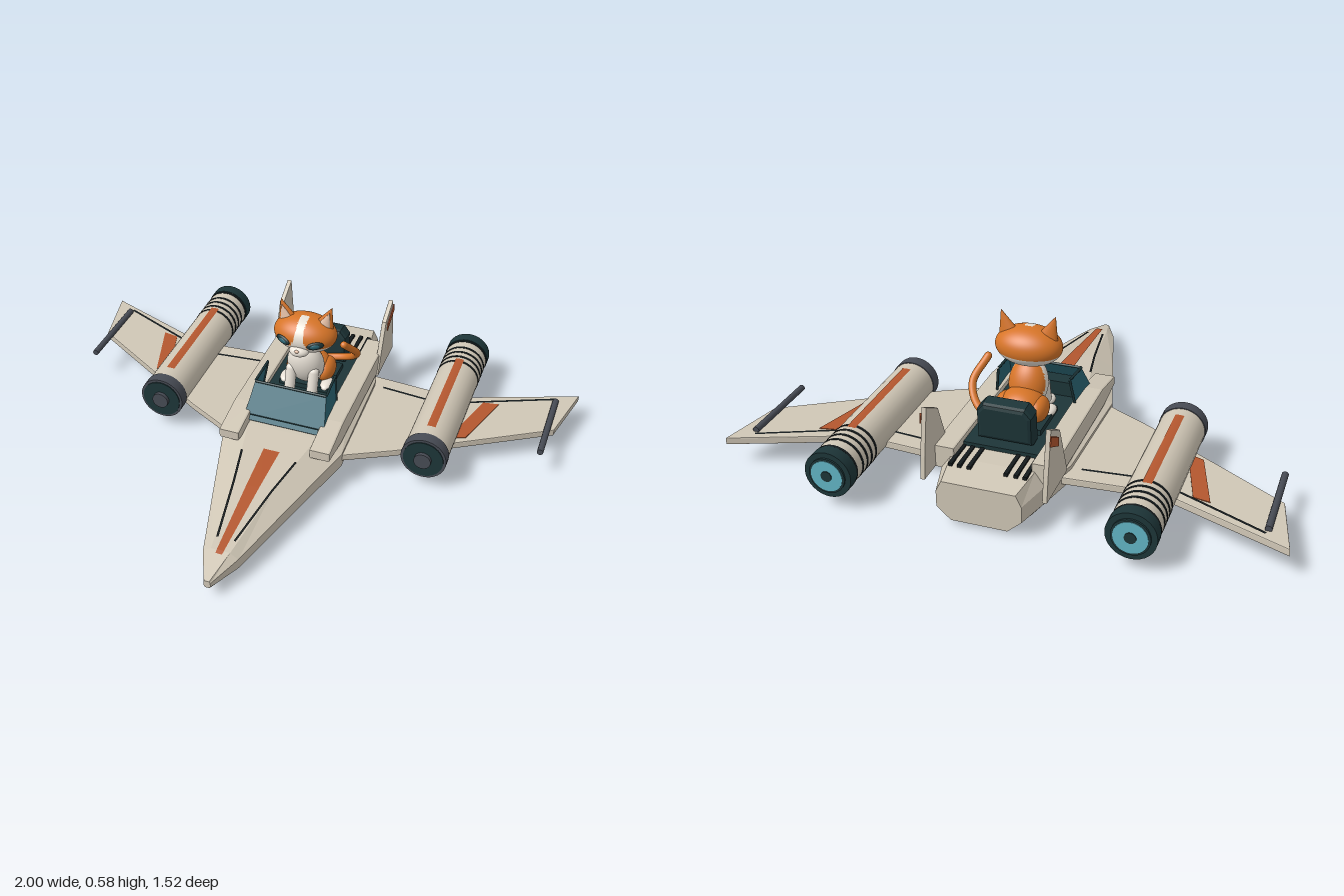
import * as THREE from 'three';

const mat = (name, color, side = THREE.FrontSide) => {
  const m = new THREE.MeshStandardMaterial({ color, side });
  m.name = name;
  return m;
};

export function createModel() {
  const root = new THREE.Group();
  const hullMat = mat('cream hull', 0xd0c7b6), red = mat('rust stripe', 0xb4572f);
  const dark = mat('dark green', 0x1d3538), steel = mat('steel', 0x474b54);
  const teal = mat('teal glass', 0x2b6675, THREE.DoubleSide), glow = mat('engine glow', 0x62b4c4);
  const orange = mat('orange fur', 0xd67427), white = mat('white fur', 0xe8e1d6);
  const black = mat('black line', 0x141a1c), pink = mat('inner ear', 0xe3bfa6);

  const add = (name, geo, m, x = 0, y = 0, z = 0, parent = root) => {
    const mesh = new THREE.Mesh(geo, m);
    mesh.name = name;
    mesh.position.set(x, y, z);
    parent.add(mesh);
    return mesh;
  };
  const box = (name, w, h, d, m, x, y, z) => add(name, new THREE.BoxGeometry(w, h, d), m, x, y, z);
  const ball = (name, r, m, x, y, z) => {
    const mesh = add(name, new THREE.SphereGeometry(1, 28, 20), m, x, y, z);
    mesh.scale.set(...r);
    return mesh;
  };
  const extrude = (pts, depth, bevel) => new THREE.ExtrudeGeometry(
    new THREE.Shape(pts.map(p => new THREE.Vector2(...p))),
    { depth, bevelEnabled: bevel > 0, bevelSize: bevel, bevelThickness: bevel, bevelOffset: -bevel, bevelSegments: 2 });
  // slab from an (x, z) outline, rising from y = 0
  const slab = (pts, h, bevel = 0) => extrude(pts.map(([x, z]) => [x, -z]), h, bevel).rotateX(-Math.PI / 2);
  // upright slab from a (z, y) outline, centred on x = 0
  const upright = (pts, w, bevel = 0) =>
    extrude(pts.map(([z, y]) => [-z, y]), w, bevel).rotateY(Math.PI / 2).translate(-w / 2, 0, 0);
  const faces = (pos) => {
    const g = new THREE.BufferGeometry();
    g.setAttribute('position', new THREE.Float32BufferAttribute(pos, 3));
    g.computeVertexNormals();
    return g;
  };
  const quad = (a, b, c, d) => [...a, ...b, ...c, ...a, ...c, ...d];
  // flat painted ribbon facing up, through [x, y, z, halfWidth] points
  const ribbon = (path) => {
    const a = path[0], e = path[path.length - 1];
    const l = Math.hypot(e[0] - a[0], e[2] - a[2]);
    const rx = (e[2] - a[2]) / l, rz = -(e[0] - a[0]) / l, pos = [];
    const edge = (p, s) => [p[0] + rx * s * p[3], p[1], p[2] + rz * s * p[3]];
    for (let i = 0; i < path.length - 1; i++)
      pos.push(...quad(edge(path[i], -1), edge(path[i + 1], -1), edge(path[i + 1], 1), edge(path[i], 1)));
    return faces(pos);
  };
  // gives each triangle one of two materials by a rule on its centre
  const paint = (geo, rule) => {
    const g = geo.toNonIndexed(), p = g.attributes.position;
    for (let i = 0; i < p.count; i += 3) {
      const mid = k => (p.getComponent(i, k) + p.getComponent(i + 1, k) + p.getComponent(i + 2, k)) / 3;
      g.addGroup(i, 3, rule(mid(0), mid(1), mid(2)) ? 0 : 1);
    }
    return g;
  };

  // faceted hull: z, side half width, deck half width, deck y, side top y, side bottom y, keel half width, keel y
  const stations = [
    [0.76, 0.012, 0.008, 0.075, 0.068, 0.052, 0.008, 0.045],
    [0.64, 0.065, 0.035, 0.105, 0.085, 0.045, 0.045, 0.027],
    [0.34, 0.15, 0.075, 0.14, 0.105, 0.055, 0.1, 0.01],
    [0.04, 0.235, 0.135, 0.165, 0.12, 0.065, 0.16, 0.003],
    [-0.42, 0.225, 0.15, 0.18, 0.125, 0.065, 0.16, 0],
    [-0.58, 0.185, 0.15, 0.18, 0.13, 0.065, 0.14, 0.01],
    [-0.71, 0.15, 0.13, 0.165, 0.125, 0.065, 0.1, 0.02]];
  const rings = stations.map(([z, w, tw, top, hi, lo, bw, bot]) =>
    [[w, lo], [w, hi], [tw, top], [-tw, top], [-w, hi], [-w, lo], [-bw, bot], [bw, bot]].map(([x, y]) => [x, y, z]));
  const hull = [], last = rings[rings.length - 1];
  for (let i = 0; i < rings.length - 1; i++)
    for (let j = 0; j < 8; j++) {
      const k = (j + 1) % 8;
      hull.push(...quad(rings[i][j], rings[i + 1][j], rings[i + 1][k], rings[i][k]));
    }
  for (let j = 1; j < 7; j++) {
    hull.push(...rings[0][0], ...rings[0][j], ...rings[0][j + 1]);
    hull.push(...last[0], ...last[j + 1], ...last[j]);
  }
  add('hull', faces(hull), hullMat);
  const deckY = (z) => {
    const i = stations.findIndex((s, n) => n > 0 && s[0] <= z), a = stations[i - 1], b = stations[i];
    return THREE.MathUtils.lerp(b[3], a[3], (z - b[0]) / (a[0] - b[0])) + 0.003;
  };
  add('noseStripe', ribbon([[0.15, 0.031], [0.34, 0.024], [0.64, 0.013], [0.655, 0.012]]
    .map(([z, w]) => [0, deckY(z), z, w])), red);

  // cockpit tub, dashboard and seat
  box('cockpitTub', 0.28, 0.07, 0.52, dark, 0, 0.16, -0.24);
  box('dashboard', 0.24, 0.06, 0.06, dark, 0, 0.22, -0.06);
  const rounded = [[-0.1, 0.2], [0.1, 0.2], [0.1, 0.31], [0.075, 0.34], [-0.075, 0.34], [-0.1, 0.31]];
  add('seatBack', extrude(rounded, 0.04, 0.015), dark, 0, 0, -0.435).rotation.x = -0.08;
  box('seatCushion', 0.2, 0.03, 0.18, dark, 0, 0.2, -0.29);
  // windscreen
  const pane = [[0.16, 0.175, 0.03], [0.14, 0.3, -0.05], [0.135, 0.31, -0.17], [0.15, 0.2, -0.15]];
  const flip = (p) => [-p[0], p[1], p[2]];
  add('windscreenFront', faces(quad(flip(pane[0]), pane[0], pane[1], flip(pane[1]))), teal);
  const rod = (name, a, b, r, m) => add(name, new THREE.TubeGeometry(
    new THREE.LineCurve3(new THREE.Vector3(...a), new THREE.Vector3(...b)), 1, r, 8), m);
  rod('windscreenTopFrame', flip(pane[1]), pane[1], 0.005, dark);

  for (const s of [1, -1]) {
    const side = s > 0 ? 'left' : 'right';
    const mx = (pts) => pts.map(([x, ...r]) => [x * s, ...r]);
    const p = mx(pane);
    add(side + 'WindscreenSide', faces(s > 0 ? quad(p[0], p[3], p[2], p[1]) : quad(...p)), teal);
    rod(side + 'WindscreenFrame', p[1], p[2], 0.005, dark);
    rod(side + 'WindscreenRearFrame', p[2], p[3], 0.005, dark);
    add(side + 'NoseLine', ribbon(mx([[0.105, 0.18], [0.073, 0.34], [0.032, 0.59]])
      .map(([x, z]) => [x, deckY(z) + 0.001, z, 0.004])), black);

    // cockpit side rail and tail fin
    add(side + 'Rail', upright([[0.13, 0.15], [0.13, 0.185], [-0.03, 0.212], [-0.58, 0.212], [-0.58, 0.13], [0, 0.13]], 0.065, 0.008),
      hullMat, s * 0.177);
    add(side + 'Fin', upright([[-0.46, 0.13], [-0.49, 0.21], [-0.54, 0.335], [-0.63, 0.385], [-0.66, 0.21], [-0.67, 0.13]], 0.012, 0.003),
      hullMat, s * 0.215);
    add(side + 'FinStripe', upright([[-0.56, 0.32], [-0.637, 0.365], [-0.645, 0.33], [-0.56, 0.285]], 0.004), red, s * 0.225);
    for (const x of [0.065, 0.1, 0.132]) box(side + 'Vent', 0.014, 0.012, 0.125, black, s * x, 0.18, -0.565);

    // wing with painted panels
    add(side + 'Wing', slab(mx([[0.15, 0.075], [0.22, 0.04], [0.41, -0.06], [0.945, -0.385], [1, -0.63], [0.55, -0.458], [0.15, -0.485]]), 0.02, 0.004),
      hullMat, 0, 0.087);
    add(side + 'WingStripe', slab(mx([[0.655, -0.455], [0.715, -0.465], [0.64, -0.222], [0.58, -0.2]]), 0.003), red, 0, 0.111);
    add(side + 'WingLine', ribbon(mx([[0.6, 0.1135, -0.437, 0.005], [0.915, 0.1135, -0.573, 0.005]])), black);
    add(side + 'InnerWingLine', ribbon(mx([[0.26, 0.1135, -0.415, 0.005], [0.45, 0.1135, -0.398, 0.005]])), black);
    add(side + 'Cannon', new THREE.CylinderGeometry(0.012, 0.012, 0.33, 12).rotateX(Math.PI / 2), steel, s * 0.92, 0.118, -0.392);

    // engine nacelle, front to back
    const engine = new THREE.Group();
    engine.name = side + 'Engine';
    engine.position.set(s * 0.526, 0.13, 0);
    root.add(engine);
    const drum = (name, r, z0, z1, m) => add(name, new THREE.CylinderGeometry(r, r, z0 - z1, 32).rotateX(Math.PI / 2),
      m, 0, 0, (z0 + z1) / 2, engine);
    drum('nacelle', 0.083, -0.06, -0.71, hullMat);
    drum('intakeRing', 0.086, -0.028, -0.073, steel);
    drum('intakeFace', 0.076, -0.024, -0.04, dark);
    drum('intakeHub', 0.032, -0.01, -0.04, steel);
    for (const z of [-0.555, -0.588, -0.62, -0.653, -0.698]) drum('nacelleBand', 0.0845, z + 0.005, z - 0.005, black);
    drum('nozzle', 0.086, -0.705, -0.75, dark);
    drum('nozzleLip', 0.066, -0.75, -0.757, dark);
    drum('nozzleGlow', 0.058, -0.75, -0.759, glow);
    drum('nozzleHub', 0.02, -0.75, -0.762, dark);
    add('nacelleStripe', new THREE.CylinderGeometry(0.085, 0.085, 0.45, 6, 1, true, -0.19, 0.38)
      .rotateX(-Math.PI / 2).rotateZ(0), red, 0, 0, -0.345, engine).geometry.rotateZ(0);
    engine.getObjectByName('nacelleStripe').geometry.rotateZ(
      engine.getObjectByName('nacelleStripe').geometry.attributes.position.getY(0) < 0 ? Math.PI : 0);
  }

  // cat head: orange cap, white blaze and lower face
  const headGeo = paint(new THREE.SphereGeometry(1, 80, 50), (x, y, z) => y > -0.32 && !(z > 0 && Math.abs(x) < 0.13 + Math.max(0, 0.2 - y) * 0.3));
  const head = add('catHead', headGeo, [orange, white], 0, 0.45, -0.215);
  head.scale.set(0.122, 0.072, 0.086);
  ball('muzzle', [0.038, 0.022, 0.03], white, 0, 0.412, -0.142);
  ball('nose', [0.009, 0.006, 0.006], pink, 0, 0.424, -0.115);
  for (const s of [1, -1]) {
    const eye = ball('eye', [0.032, 0.016, 0.008], dark, s * 0.063, 0.446, -0.142);
    eye.rotation.set(0, s * 0.42, s * 0.12);
    const iris = ball('iris', [0.02, 0.01, 0.006], teal, s * 0.063, 0.446, -0.138);
    iris.rotation.copy(eye.rotation);
    // ears
    const ear = add('ear', new THREE.ConeGeometry(0.04, 0.095, 20), orange, s * 0.085, 0.53, -0.22);
    ear.scale.z = 0.5;
    ear.rotation.z = -s * 0.32;
    const inner = add('innerEar', new THREE.ConeGeometry(0.028, 0.07, 20), pink, s * 0.083, 0.522, -0.21);
    inner.scale.z = 0.5;
    inner.rotation.z = -s * 0.32;
    // legs and paws
    const leg = add('frontLeg', new THREE.CapsuleGeometry(0.021, 0.08, 6, 14), white, s * 0.045, 0.255, -0.175);
    leg.rotation.x = -0.25;
    ball('frontPaw', [0.025, 0.017, 0.032], white, s * 0.05, 0.208, -0.15);
    ball('haunch', [0.035, 0.045, 0.06], orange, s * 0.062, 0.245, -0.29);
    ball('hindPaw', [0.024, 0.016, 0.04], white, s * 0.082, 0.213, -0.235);
  }
  // body and tail
  const chest = add('chest', paint(new THREE.SphereGeometry(1, 40, 30), (x, y, z) => z < -0.35 && y > -0.5), [orange, white], 0, 0.305, -0.222);
  chest.scale.set(0.072, 0.095, 0.058);
  chest.rotation.x = 0.3;
  const rump = add('rump', paint(new THREE.SphereGeometry(1, 40, 30), (x, y, z) => y > 0.15 || z < -0.55), [orange, white], 0, 0.255, -0.285);
  rump.scale.set(0.08, 0.058, 0.078);
  const tail = new THREE.CatmullRomCurve3([[-0.03, 0.24, -0.345], [0.06, 0.238, -0.38], [0.13, 0.262, -0.372], [0.172, 0.325, -0.32], [0.14, 0.4, -0.25]]
    .map(p => new THREE.Vector3(...p)));
  add('tail', new THREE.TubeGeometry(tail, 32, 0.014, 12), orange);
  ball('tailTip', [0.014, 0.014, 0.014], orange, 0.14, 0.4, -0.25);
  return root;
}
